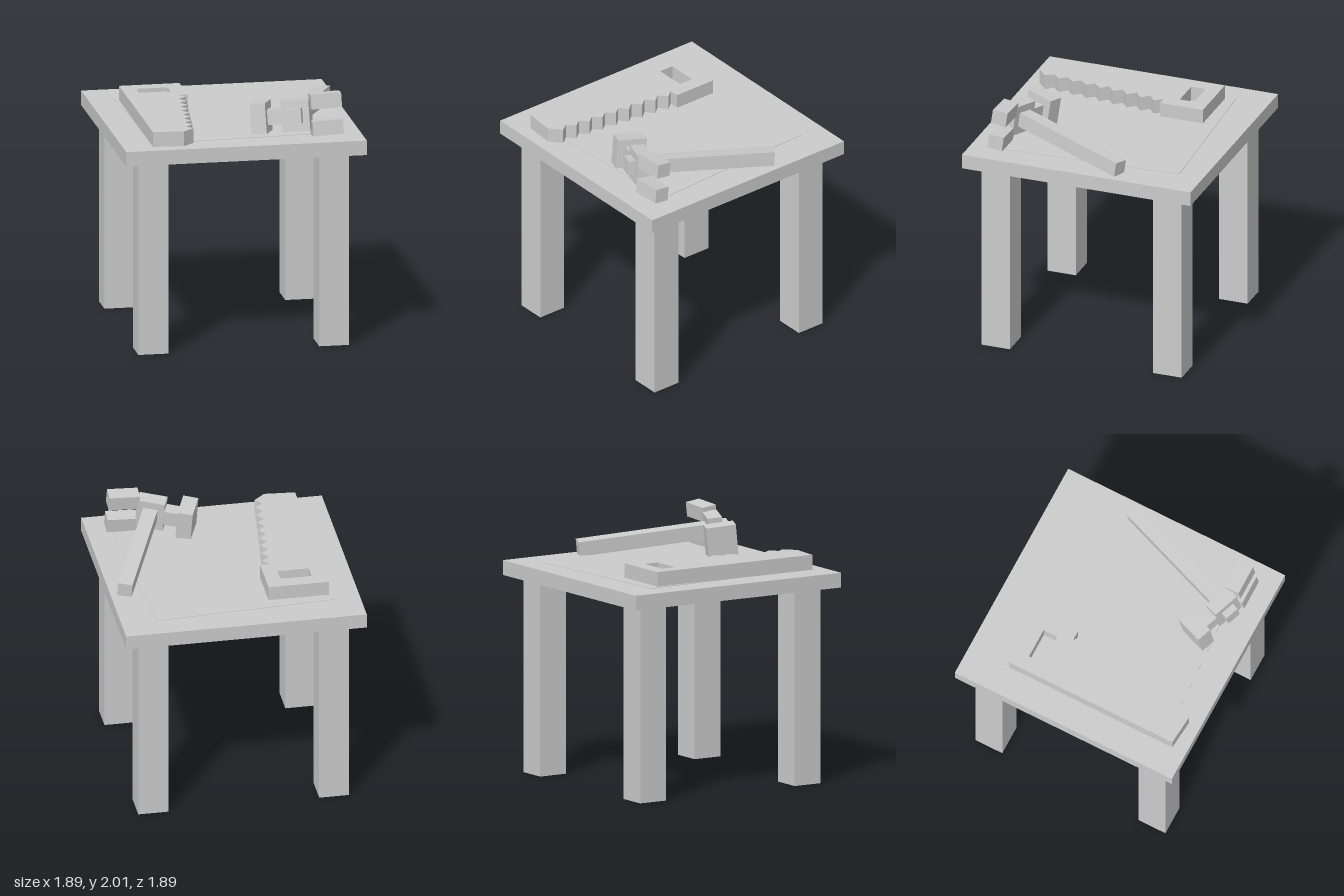
import * as THREE from 'three';

const material = new THREE.MeshStandardMaterial({ color: 0xcccccc, flatShading: true });
const TOP = 1.66;

function addBox(parent, name, size, position) {
  const mesh = new THREE.Mesh(new THREE.BoxGeometry(...size), material);
  mesh.name = name;
  mesh.position.set(...position);
  parent.add(mesh);
  return mesh;
}

// Plan outlines are [x, z] pairs; the slab rises from y = 0.
const plan = (points) => points.map(([x, z]) => new THREE.Vector2(x, -z));

function addSlab(parent, name, outline, depth, y, hole) {
  const shape = new THREE.Shape(plan(outline));
  if (hole) shape.holes.push(new THREE.Path(plan(hole)));
  const geometry = new THREE.ExtrudeGeometry(shape, { depth, bevelEnabled: false });
  geometry.rotateX(-Math.PI / 2);
  const mesh = new THREE.Mesh(geometry, material);
  mesh.name = name;
  mesh.position.y = y;
  parent.add(mesh);
}

function createTable() {
  const table = new THREE.Group();
  table.name = 'table';
  addBox(table, 'tableTop', [1.894, 0.116, 1.894], [0, TOP - 0.058, 0]);
  for (const x of [-1, 1]) {
    for (const z of [-1, 1]) {
      const name = (z > 0 ? 'front' : 'back') + (x > 0 ? 'Left' : 'Right') + 'Leg';
      addBox(table, name, [0.236, 1.545, 0.236], [x * 0.712, 0.7725, z * 0.712]);
    }
  }
  // Thin sheet lying slightly askew on the top
  addSlab(table, 'sheet', [[-0.75, -0.675], [0.67, -0.75], [0.745, 0.67], [-0.68, 0.745]], 0.004, TOP);
  return table;
}

function createSaw(parent) {
  const outline = [[-0.715, -0.595], [-0.24, -0.595], [-0.24, -0.24]];
  // Row of teeth along the tapering cutting edge
  for (let i = 0; i < 9; i++) {
    outline.push([-0.32 - 0.0137 * i, -0.24 + 0.1185 * i]);
    outline.push([-0.267 - 0.0147 * i, -0.178 + 0.1185 * i]);
  }
  outline.push([-0.475, 0.85], [-0.715, 0.83]);
  const gripHole = [[-0.6, -0.48], [-0.6, -0.36], [-0.355, -0.36], [-0.355, -0.48]];
  addSlab(parent, 'saw', outline, 0.118, TOP, gripHole);
}

function createHammer() {
  const hammer = new THREE.Group();
  hammer.name = 'hammer';
  // Local x runs along the head, local z along the handle
  const x = new THREE.Vector3(0.93, 0.09, 0.36).normalize();
  const y = new THREE.Vector3(-0.36, 0.105, 0.93).cross(x).normalize();
  const z = new THREE.Vector3().crossVectors(x, y);
  hammer.quaternion.setFromRotationMatrix(new THREE.Matrix4().makeBasis(x, y, z));
  hammer.position.set(0.447, 1.825, 0.67);

  addBox(hammer, 'handle', [0.114, 0.115, 1.19], [0, 0, -0.48]);
  addBox(hammer, 'headBlock', [0.22, 0.245, 0.115], [0, -0.005, 0]);
  addBox(hammer, 'neck', [0.16, 0.12, 0.11], [-0.17, -0.01, 0]);
  addBox(hammer, 'strikingFace', [0.12, 0.24, 0.235], [-0.282, -0.01, 0]);
  // Two claws, turned away from the head
  for (const side of [-1, 1]) {
    const name = side > 0 ? 'upperClaw' : 'lowerClaw';
    const claw = addBox(hammer, name, [0.24, 0.115, 0.122], [0.222, side * 0.105 - 0.01, -0.04]);
    claw.rotation.y = 0.37;
  }
  return hammer;
}

export function createModel() {
  const model = new THREE.Group();
  model.name = 'workTable';
  model.add(createTable());
  createSaw(model);
  model.add(createHammer());
  return model;
}
